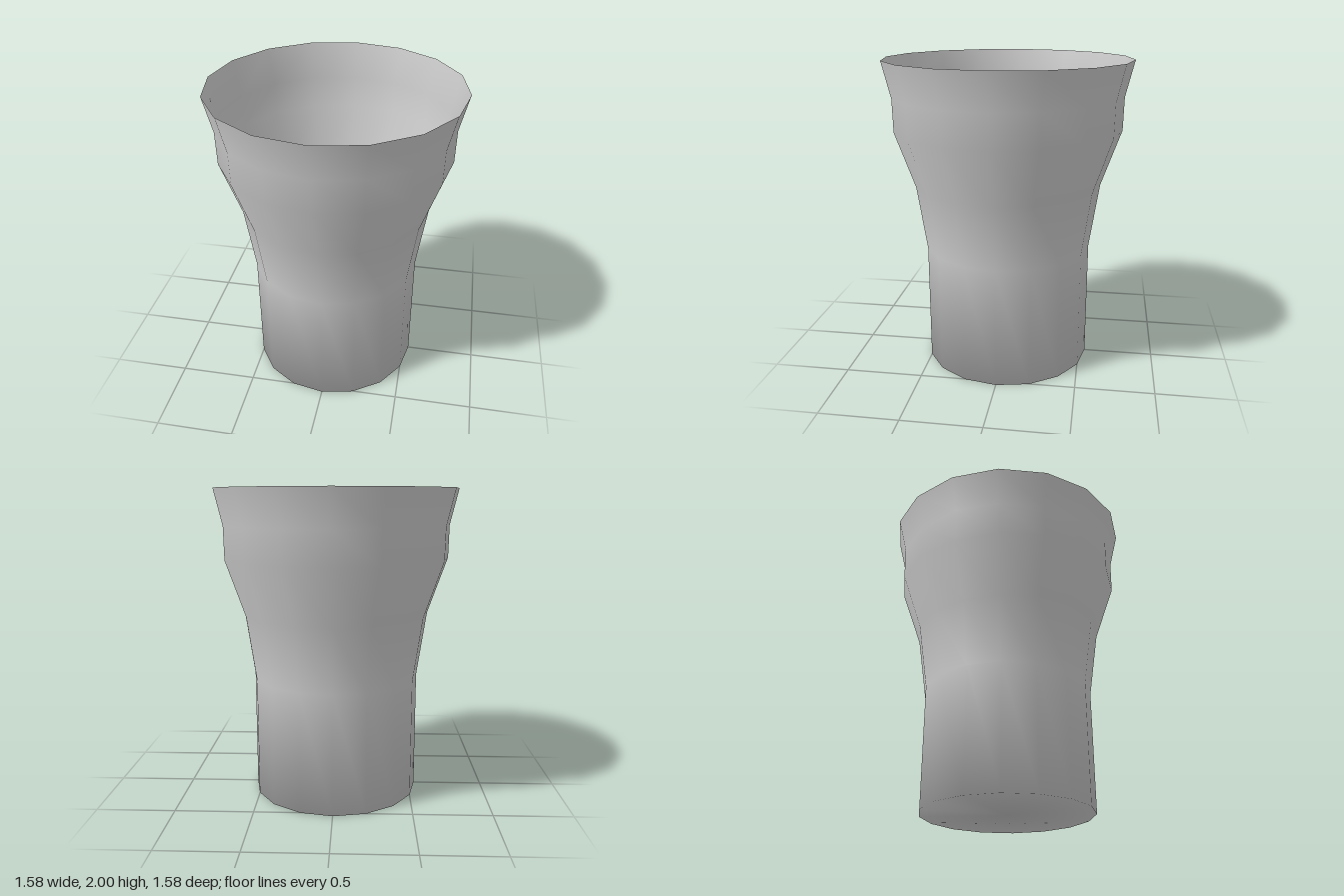
import * as THREE from 'three';

export function createModel() {
  const group = new THREE.Group();
  group.name = 'cup';

  // Thin-walled cup: closed floor, straight base, flared body, open rim
  const profile = [
    [0, 0], [0.543, 0], [0.543, 0.78], [0.605, 1.2],
    [0.731, 1.56], [0.735, 1.77], [0.79, 2],
  ].map(([r, y]) => new THREE.Vector2(r, y));

  const cup = new THREE.Mesh(
    new THREE.LatheGeometry(profile, 16),
    new THREE.MeshStandardMaterial({ color: 0xcccccc, side: THREE.DoubleSide }),
  );
  cup.name = 'cupBody';
  group.add(cup);
  return group;
}
